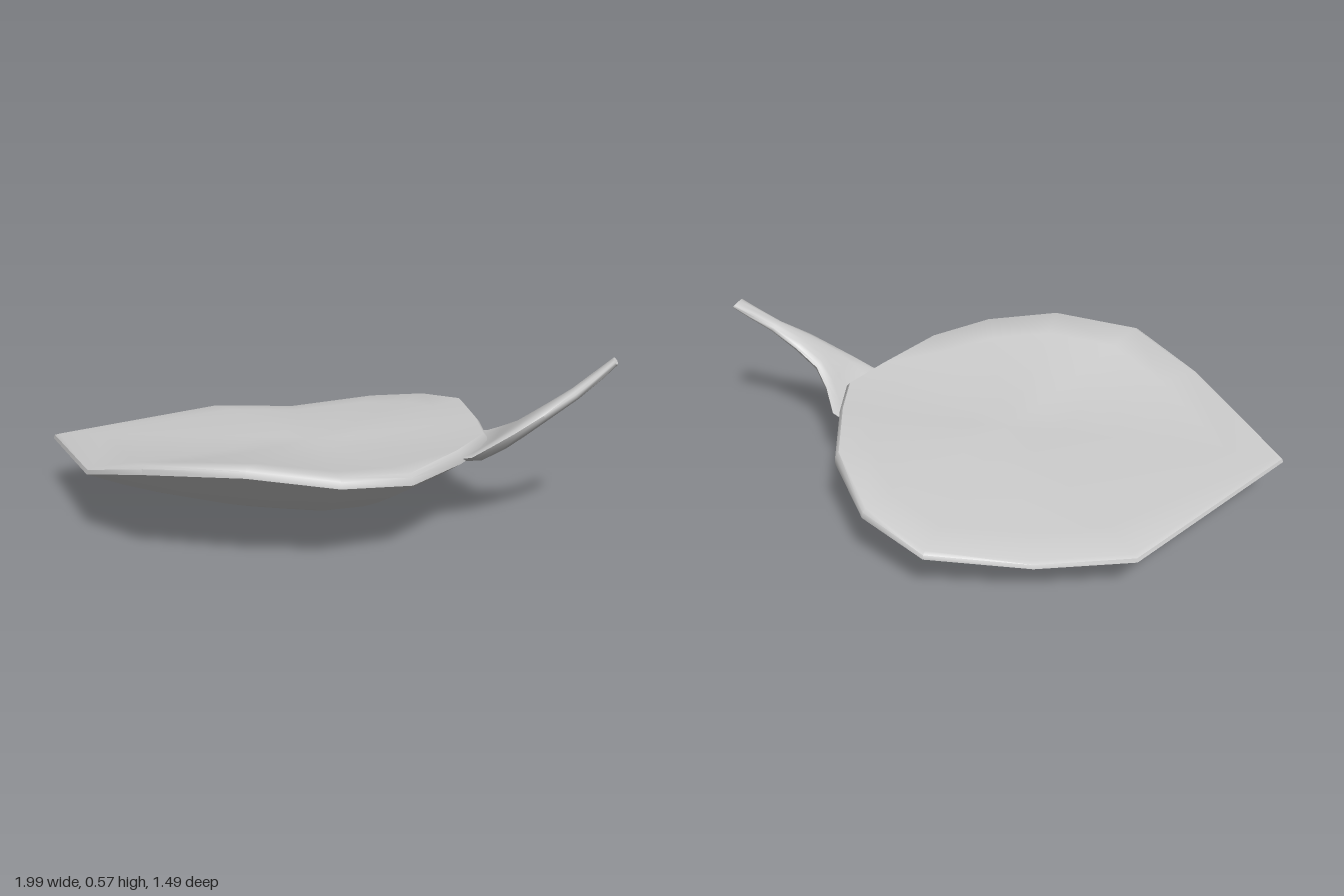
import * as THREE from 'three';
import { toCreasedNormals } from 'three/addons/utils/BufferGeometryUtils.js';

// Skins a row of closed rings (arrays of Vector3); collapsed rings act as caps.
function loft(rings, crease) {
  const pos = [];
  const tri = (a, b, c) => {
    if (a.distanceTo(b) < 1e-5 || b.distanceTo(c) < 1e-5 || a.distanceTo(c) < 1e-5) return;
    for (const p of [a, b, c]) pos.push(p.x, p.y, p.z);
  };
  for (let r = 0; r < rings.length - 1; r++) {
    const a = rings[r], b = rings[r + 1], n = a.length;
    for (let i = 0; i < n; i++) {
      const j = (i + 1) % n;
      tri(a[i], b[i], b[j]);
      tri(a[i], b[j], a[j]);
    }
  }
  const geo = new THREE.BufferGeometry();
  geo.setAttribute('position', new THREE.Float32BufferAttribute(pos, 3));
  return toCreasedNormals(geo, crease);
}

// Rim corners of the leaf: x, rim height, z, edge thickness
const RIM = [
  [-1, 0.203, 0.14, 0.018], [-0.63, 0.18, -0.52, 0.02], [-0.33, 0.17, -0.64, 0.02],
  [-0.01, 0.212, -0.75, 0.02], [0.23, 0.258, -0.66, 0.03], [0.42, 0.3, -0.45, 0.04],
  [0.53, 0.298, -0.18, 0.045], [0.585, 0.293, 0, 0.045], [0.53, 0.285, 0.2, 0.045],
  [0.43, 0.28, 0.48, 0.035], [0.25, 0.3, 0.65, 0.03], [-0.02, 0.333, 0.73, 0.03],
  [-0.35, 0.312, 0.74, 0.025], [-0.62, 0.238, 0.59, 0.02],
];

function leafGeometry() {
  const cx = -0.04, topY = 0.225;
  const ring = (t, height) => RIM.map(([x, y, z, e]) =>
    new THREE.Vector3(cx + (x - cx) * t, height(y, e), z * t));
  const rings = [];
  // rounded belly, from its lowest point out to the rim
  for (const t of [0, 0.12, 0.25, 0.4, 0.55, 0.7, 0.85, 1]) {
    rings.push(ring(t, (y, e) => (y - e) * Math.pow(t, 1.8)));
  }
  // bevelled edge
  rings.push(ring(0.995, (y, e) => y - e * 0.3));
  // shallow dished top, from the rim back to the middle
  for (const t of [0.975, 0.8, 0.6, 0.4, 0.2, 0]) {
    rings.push(ring(t, (y) => topY + (y - topY) * Math.pow(t / 0.975, 1.5)));
  }
  return loft(rings, 0.9);
}

// Stem sections: x, y, front z, back z, half thickness, upward curl of the sides
const STEM = [
  [0.51, 0.222, 0.19, -0.19, 0.014, 0.03], [0.58, 0.238, 0.187, -0.165, 0.022, 0.028],
  [0.64, 0.285, 0.172, -0.075, 0.026, 0.02], [0.7, 0.334, 0.15, -0.012, 0.025, 0.01],
  [0.78, 0.396, 0.118, 0.002, 0.023, 0.004], [0.87, 0.462, 0.066, 0.003, 0.02, 0],
  [0.94, 0.522, 0.033, -0.03, 0.017, 0], [0.987, 0.565, 0.012, -0.053, 0.013, 0],
];

function stemGeometry() {
  const sides = 14;
  const normal = new THREE.Vector2(-0.62, 0.78);
  const rings = STEM.map(([x, y, zf, zb, h, curl]) => {
    const pts = [];
    for (let i = 0; i < sides; i++) {
      const a = (i / sides) * Math.PI * 2, c = Math.cos(a);
      const lift = h * Math.sin(a) + curl * c * c;
      pts.push(new THREE.Vector3(x + normal.x * lift, y + normal.y * lift,
        (zf + zb) / 2 + c * (zf - zb) / 2));
    }
    return pts;
  });
  // close both ends
  const cap = (pts) => {
    const mid = pts.reduce((s, p) => s.add(p), new THREE.Vector3()).divideScalar(sides);
    return pts.map(() => mid.clone());
  };
  return loft([cap(rings[0]), ...rings, cap(rings[rings.length - 1])], 1.0);
}

export function createModel() {
  const group = new THREE.Group();
  group.name = 'leafDish';
  const material = new THREE.MeshStandardMaterial({ color: 0xcccccc });
  const add = (name, geometry) => {
    const mesh = new THREE.Mesh(geometry, material);
    mesh.name = name;
    group.add(mesh);
  };
  add('leafBody', leafGeometry());
  add('stem', stemGeometry());
  return group;
}
